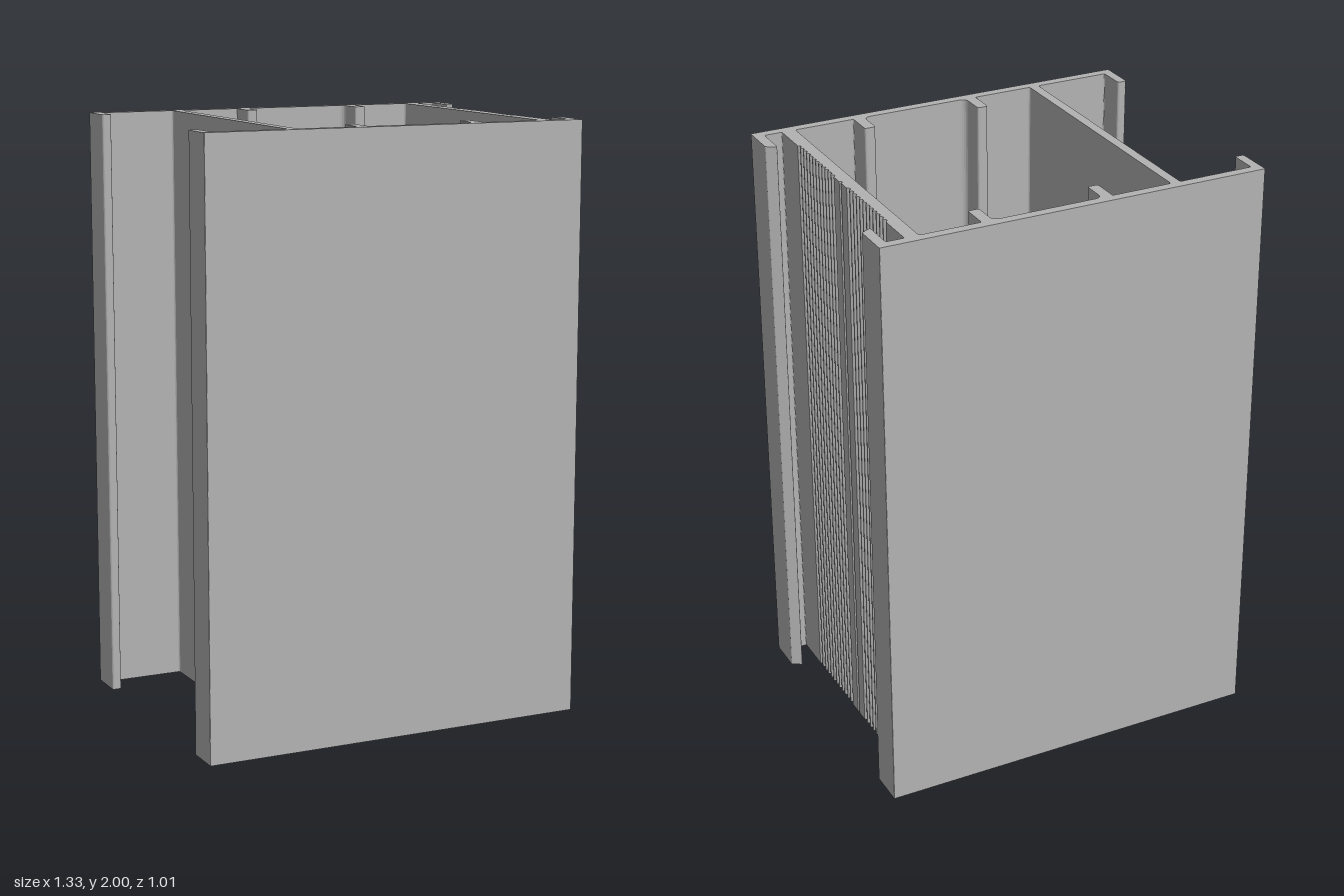
import * as THREE from 'three';

const HEIGHT = 2;
const OUT = 0.505;   // outer face of the front and back plates
const IN = 0.472;    // inner face of the plates
const TIP = 0.378;   // ends of the lips and fins
const R = 0.009;     // small corner rounding

// Closes a half outline [x, y, radius] by mirroring it in y
function mirrored(half) {
  return [...half, ...half.map(([x, y, r]) => [x, -y, r]).reverse()];
}

// Traces a closed outline of [x, y, radius] corners, rounding each by its radius
function trace(path, corners) {
  const n = corners.length;
  corners.forEach(([x, y, r = 0], i) => {
    const p = new THREE.Vector2(x, y);
    const towards = (q) => new THREE.Vector2(q[0], q[1]).sub(p).setLength(r).add(p);
    const a = r ? towards(corners[(i + n - 1) % n]) : p;
    if (i === 0) path.moveTo(a.x, a.y);
    else path.lineTo(a.x, a.y);
    if (r) {
      const b = towards(corners[(i + 1) % n]);
      path.quadraticCurveTo(x, y, b.x, b.y);
    }
  });
  return path;
}

// Fine scalloped grooves along one half of the ribbed wall, plus the centre notch
function ribbing() {
  const face = 0.567, depth = 0.008, first = 0.05, pitch = 0.0246, land = 0.005;
  const points = [[face - depth, 0.002], [face, 0.007]];
  for (let i = 0; i < 12; i++) {
    const y = first + i * pitch, w = pitch - land;
    points.push([face, y], [face - depth, y + w * 0.3], [face - depth, y + w * 0.7], [face, y + w]);
  }
  return points;
}

export function createModel() {
  const group = new THREE.Group();
  group.name = 'extrudedProfile';
  const aluminium = new THREE.MeshStandardMaterial({ color: 0xb2b2b2 });
  aluminium.name = 'aluminium';

  // Outside: ribbed wall, slanted right lip, plate, left lip, plain wall
  const section = trace(new THREE.Shape(), mirrored([
    ...ribbing(),
    [0.567, IN, 0.005],
    [0.628, IN, 0.005],
    [0.628, 0.361, 0.005],
    [0.663, 0.38, 0.003],
    [0.663, OUT, 0.003],
    [-0.667, OUT, 0.003],
    [-0.667, 0.376, R],
    [-0.635, 0.376, R],
    [-0.635, IN, 0.005],
    [-0.376, IN, R],
  ]));

  // Inner chamber with two fins on each plate, filleted on their facing sides
  section.holes.push(trace(new THREE.Path(), mirrored([
    [0.52, IN, R],
    [0.313, IN, 0.005],
    [0.313, TIP, R],
    [0.275, TIP, R],
    [0.275, IN, 0.025],
    [-0.099, IN, 0.025],
    [-0.099, TIP, R],
    [-0.136, TIP, R],
    [-0.136, IN, 0.005],
    [-0.343, IN, R],
  ])));

  const geometry = new THREE.ExtrudeGeometry(section, {
    depth: HEIGHT, bevelEnabled: false, curveSegments: 5,
  });
  geometry.rotateX(-Math.PI / 2);

  const profile = new THREE.Mesh(geometry, aluminium);
  profile.name = 'profile';
  group.add(profile);
  return group;
}
